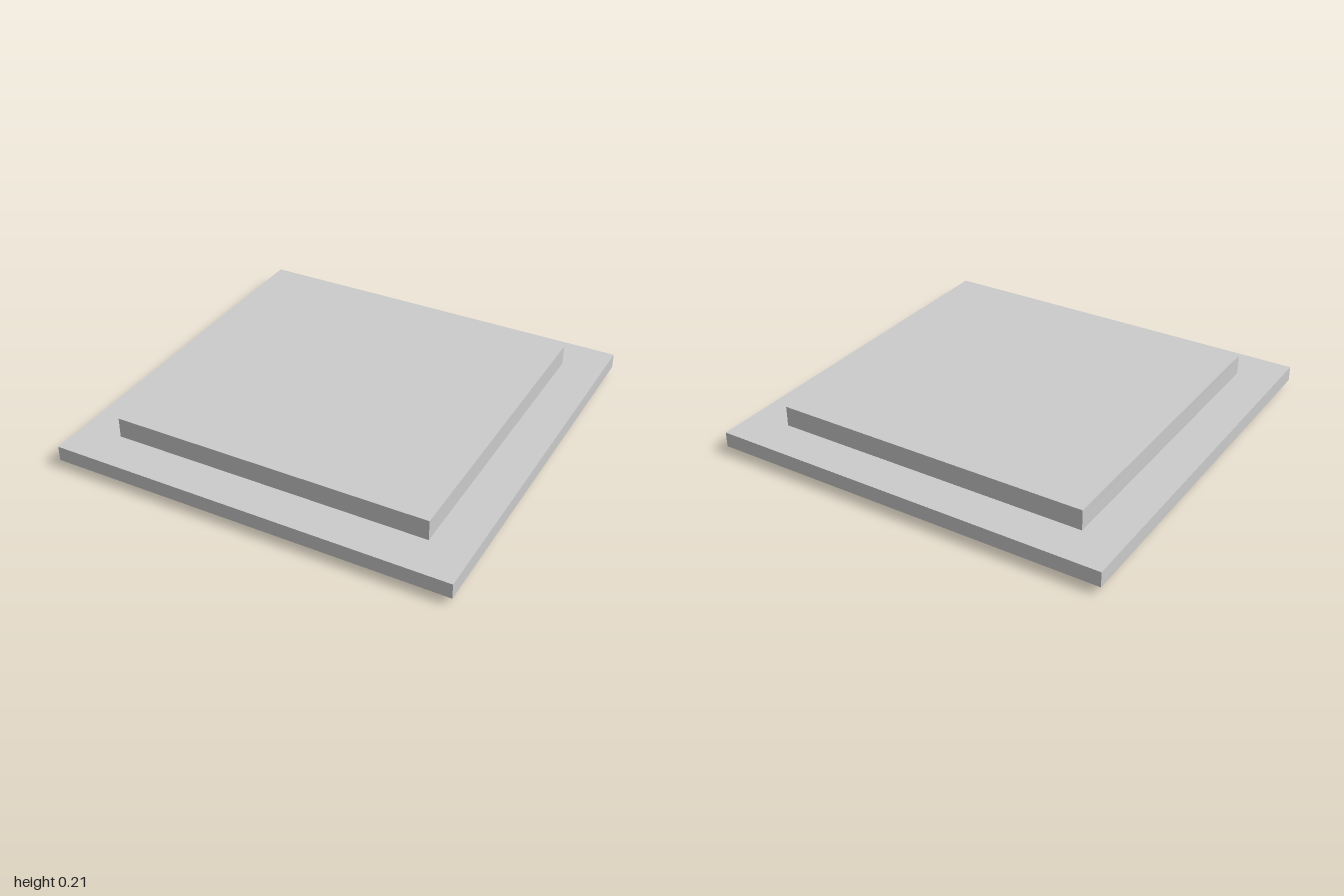
import * as THREE from 'three';

const material = new THREE.MeshStandardMaterial({ color: 0xcccccc });

// Square slab of a given half width, from height y0 to y1, with an optional square opening
function slab(name, half, y0, y1, hole = 0) {
  const square = (Type, h) => new Type([[-h, -h], [h, -h], [h, h], [-h, h]].map(([x, y]) => new THREE.Vector2(x, y)));
  const shape = square(THREE.Shape, half);
  if (hole) shape.holes.push(square(THREE.Path, hole));
  const geometry = new THREE.ExtrudeGeometry(shape, { depth: y1 - y0, bevelEnabled: false });
  geometry.rotateX(-Math.PI / 2).translate(0, y0, 0);
  const mesh = new THREE.Mesh(geometry, material);
  mesh.name = name;
  return mesh;
}

export function createModel() {
  const model = new THREE.Group();
  model.name = 'steppedSquarePlate';
  model.add(
    slab('bottomRim', 0.909, 0, 0.037, 0.857), // thin frame underneath, open in the middle
    slab('basePlate', 1, 0.037, 0.112),
    slab('raisedPlatform', 0.796, 0.112, 0.213),
  );
  return model;
}
